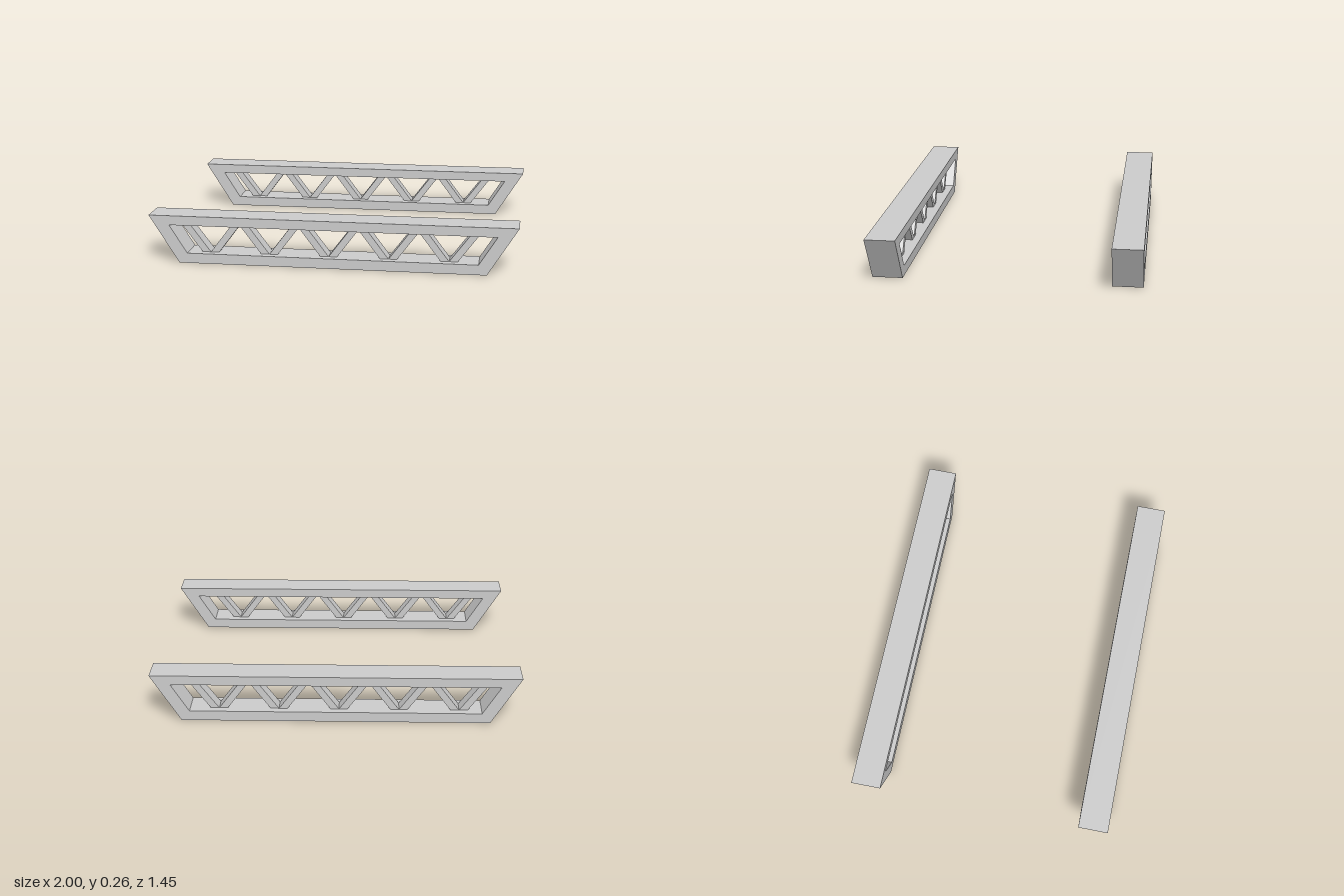
import * as THREE from 'three';

const material = new THREE.MeshStandardMaterial({ color: 0xcccccc, flatShading: true });
const points = (list) => list.map(([x, y]) => new THREE.Vector2(x, y));

// Extrude an outline along z, centred on z = 0
function plate(name, shape, depth) {
  const geometry = new THREE.ExtrudeGeometry(shape, { depth, bevelEnabled: false });
  geometry.translate(0, 0, -depth / 2);
  const mesh = new THREE.Mesh(geometry, material);
  mesh.name = name;
  return mesh;
}

function createTruss(name) {
  const truss = new THREE.Group();
  truss.name = name;
  const low = 0.055, high = 0.21;

  // Chords and slanted ends: a trapezoid ring
  const frame = new THREE.Shape(points([[-0.835, 0], [0.835, 0], [1, 0.262], [-1, 0.262]]));
  frame.holes.push(new THREE.Path(points([[-0.79, low], [-0.888, high], [0.888, high], [0.79, low]])));
  truss.add(plate('frame', frame, 0.165));

  // Narrower diagonal braces, five V pairs
  const pitch = 0.325, width = 0.046;
  for (let i = 0; i < 5; i++) {
    const valley = -0.668 + i * pitch;
    for (const side of [-1, 1]) {
      const peak = valley + side * pitch / 2;
      const corners = [
        [valley, low], [valley + side * width, low],
        [peak, high], [peak - side * width, high],
      ];
      const brace = new THREE.Shape(points(corners));
      truss.add(plate(side < 0 ? 'rightBrace' : 'leftBrace', brace, 0.08));
    }
  }
  return truss;
}

export function createModel() {
  const model = new THREE.Group();
  model.name = 'trussPair';
  for (const side of [1, -1]) {
    const truss = createTruss(side > 0 ? 'frontTruss' : 'backTruss');
    truss.position.z = side * 0.6425;
    model.add(truss);
  }
  return model;
}
